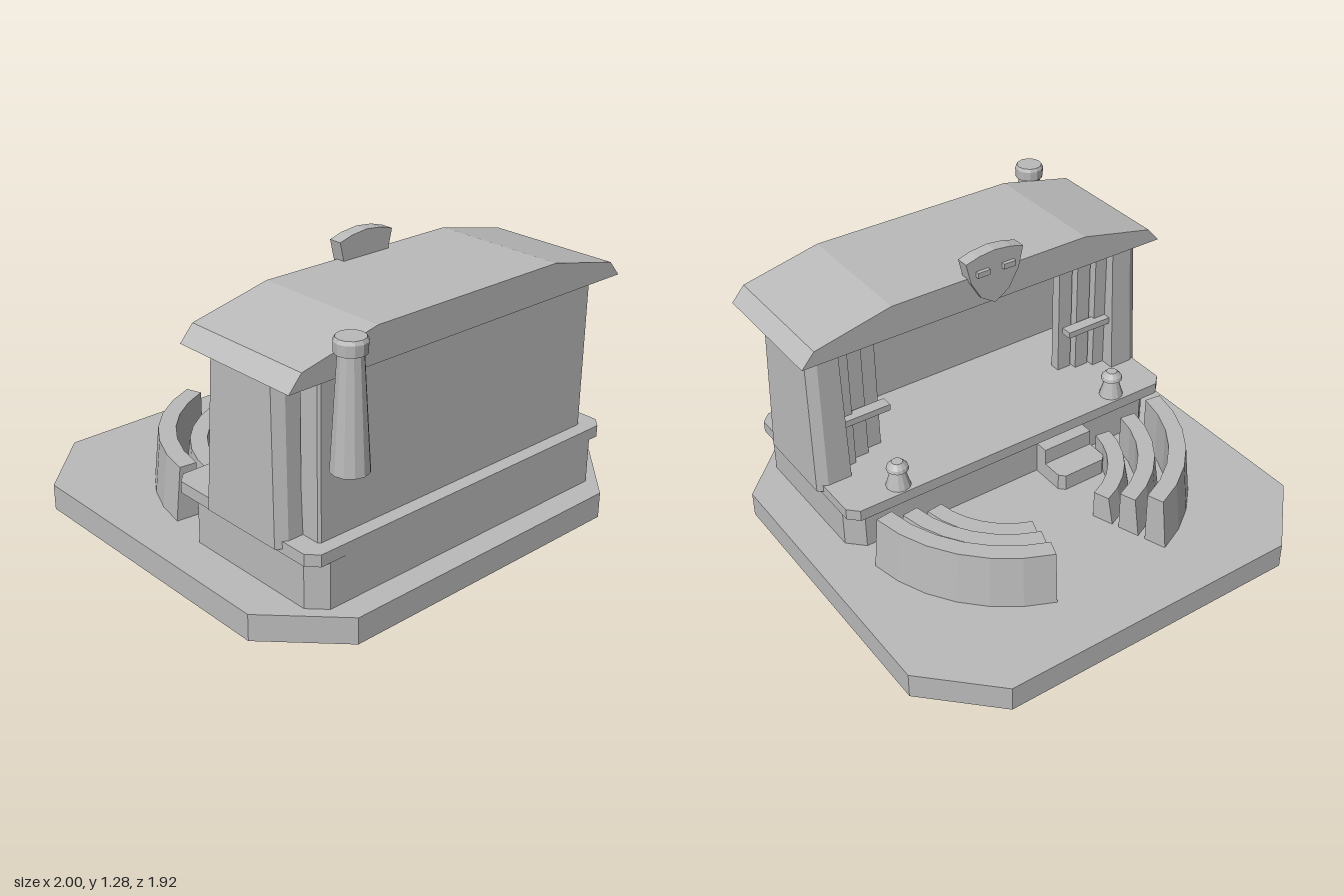
import * as THREE from 'three';

const stone = new THREE.MeshStandardMaterial({ color: 0xbababa });
stone.name = 'grey stone';
const openStone = new THREE.MeshStandardMaterial({ color: 0xbababa, side: THREE.DoubleSide });
openStone.name = 'grey stone, open';

function add(parent, name, geometry, material = stone) {
  const mesh = new THREE.Mesh(geometry, material);
  mesh.name = name;
  parent.add(mesh);
  return mesh;
}

function box(parent, name, x0, x1, y0, y1, z0, z1) {
  const mesh = add(parent, name, new THREE.BoxGeometry(x1 - x0, y1 - y0, z1 - z0));
  mesh.position.set((x0 + x1) / 2, (y0 + y1) / 2, (z0 + z1) / 2);
  return mesh;
}

// Flat-shaded skin over matching convex cross-sections
function loft(sections, startCap = true) {
  const pos = [];
  const tri = (a, b, c) => pos.push(...a, ...b, ...c);
  const n = sections[0].length;
  for (let s = 0; s + 1 < sections.length; s++) {
    const a = sections[s], b = sections[s + 1];
    for (let i = 0; i < n; i++) {
      const j = (i + 1) % n;
      tri(a[i], a[j], b[j]);
      tri(a[i], b[j], b[i]);
    }
  }
  const first = sections[0], last = sections[sections.length - 1];
  for (let i = 1; i + 1 < n; i++) {
    tri(last[0], last[i], last[i + 1]);
    if (startCap) tri(first[0], first[i + 1], first[i]);
  }
  const g = new THREE.BufferGeometry();
  g.setAttribute('position', new THREE.Float32BufferAttribute(pos, 3));
  g.computeVertexNormals();
  return g;
}

const atHeight = (ring, y) => ring.map(([x, z]) => [x, y, z]);

// Rectangle with cut corners, centred on x
function cutRect(x, z0, z1, c) {
  return [[-x + c, z1], [x - c, z1], [x, z1 - c], [x, z0 + c],
    [x - c, z0], [-x + c, z0], [-x, z0 + c], [-x, z1 - c]];
}

function slab(parent, name, ring, y0, y1, open = false) {
  return add(parent, name, loft([atHeight(ring, y0), atHeight(ring, y1)], !open), open ? openStone : stone);
}

function extrude(points, z0, z1) {
  const shape = new THREE.Shape(points.map(([x, y]) => new THREE.Vector2(x, y)));
  return new THREE.ExtrudeGeometry(shape, { depth: z1 - z0, bevelEnabled: false }).translate(0, 0, z0);
}

function lathe(points, sides) {
  const g = new THREE.LatheGeometry(points.map(([r, y]) => new THREE.Vector2(r, y)), sides).toNonIndexed();
  g.computeVertexNormals();
  return g;
}

// Curved benches of one side, with end plates reaching into the hollow base
function seating() {
  const group = new THREE.Group();
  const cx = 0.035, cz = 0.033, a0 = 0.122, a1 = 1.23, steps = 6;
  const rows = [[0.39, 0.49, 0.25], [0.522, 0.622, 0.305], [0.655, 0.757, 0.36]];
  const place = (a, r, y) => [cx + r * Math.cos(a), y, cz - r * Math.sin(a)];
  for (const [r0, r1, h] of rows) {
    const sections = [];
    for (let i = 0; i <= steps; i++) {
      const a = a0 + (a1 - a0) * i / steps;
      sections.push([[r0, 0.115], [r0, h], [r1 - 0.025, h], [r1, 0.115]].map(([r, y]) => place(a, r, y)));
    }
    add(group, 'benchRow', loft(sections));
    for (const a of [a0, a1]) {
      const plate = add(group, 'benchEndPlate', new THREE.PlaneGeometry(r1 - r0, 0.09), openStone);
      const [x, , z] = place(a, (r0 + r1) / 2, 0);
      plate.position.set(x, 0.07, z);
      plate.rotation.y = a;
    }
  }
  return group;
}

// Tapered side wall, pleated curtain and rail of one side
function stageSide() {
  const group = new THREE.Group();
  const ring = (inner, x, z0, z1) => [[inner, z1], [x - 0.043, z1], [x, z1 - 0.03],
    [x, z0 + 0.03], [x - 0.043, z0], [inner, z0]];
  add(group, 'sideWall', loft([
    atHeight(ring(0.71, 0.866, 0.24, 0.70), 0.34),
    atHeight(ring(0.71, 0.85, 0.27, 0.67), 1.04)]));
  for (let i = 0; i < 3; i++) {
    const x = 0.72 - i * 0.08;
    box(group, 'curtainPleat', x - 0.072, x, 0.37, 1.04, 0.31 + i * 0.03, 0.36 + i * 0.03);
  }
  box(group, 'curtainRail', 0.48, 0.72, 0.605, 0.635, 0.275, 0.33);
  return group;
}

export function createModel() {
  const model = new THREE.Group();
  model.name = 'openAirTheatre';

  // Hollow base and stage platform
  slab(model, 'base', cutRect(1, -0.96, 0.96, 0.29), 0, 0.117, true);
  slab(model, 'plinth', cutRect(0.82, 0.07, 0.85, 0.07), 0.117, 0.325);
  slab(model, 'stageFloor', cutRect(0.842, 0.015, 0.853, 0.045), 0.32, 0.372);

  // Closed wall behind the stage
  slab(model, 'stageWall', cutRect(0.752, 0.68, 0.79, 0.01), 0.37, 1.04);

  // Hipped roof
  add(model, 'roof', extrude([[-0.91, 1.027], [0.91, 1.027], [0.85, 1.095], [0.49, 1.175],
    [-0.49, 1.175], [-0.85, 1.095]], 0.193, 0.812));

  // Shield on the roof edge, with two studs
  add(model, 'shield', extrude([[0, 1.03], [0.07, 1.075], [0.12, 1.16], [0.143, 1.257], [0.08, 1.275],
    [0, 1.284], [-0.08, 1.275], [-0.143, 1.257], [-0.12, 1.16], [-0.07, 1.075]], 0.172, 0.232));
  for (const x of [-0.065, 0.065]) box(model, 'shieldStud', x - 0.03, x + 0.03, 1.185, 1.21, 0.155, 0.18);

  // Tapered turret on the closed wall
  const turret = add(model, 'turret', lathe([[0, 0.68], [0.077, 0.68], [0.05, 1.14], [0.064, 1.14],
    [0.066, 1.185], [0.058, 1.2], [0, 1.2]], 12));
  turret.position.set(-0.67, 0, 0.865);

  // Stage lamps
  const lampShape = lathe([[0.056, 0.37], [0.033, 0.45], [0.05, 0.46], [0.046, 0.475], [0.025, 0.497], [0, 0.497]], 12);
  for (const x of [-0.577, 0.575]) add(model, 'stageLamp', lampShape).position.set(x, 0, 0.077);

  // Steps up to the stage
  slab(model, 'lowerStep', cutRect(0.128, -0.12, 0.08, 0.025), 0.117, 0.195).position.x = -0.278;
  box(model, 'upperStep', -0.405, -0.15, 0.117, 0.272, 0.005, 0.08);

  // Mirrored pairs
  for (const side of [1, -1]) {
    const parts = { seating: seating(), stageSide: stageSide() };
    for (const [name, group] of Object.entries(parts)) {
      group.name = (side > 0 ? 'left ' : 'right ') + name;
      group.scale.x = side;
      model.add(group);
    }
  }
  return model;
}
